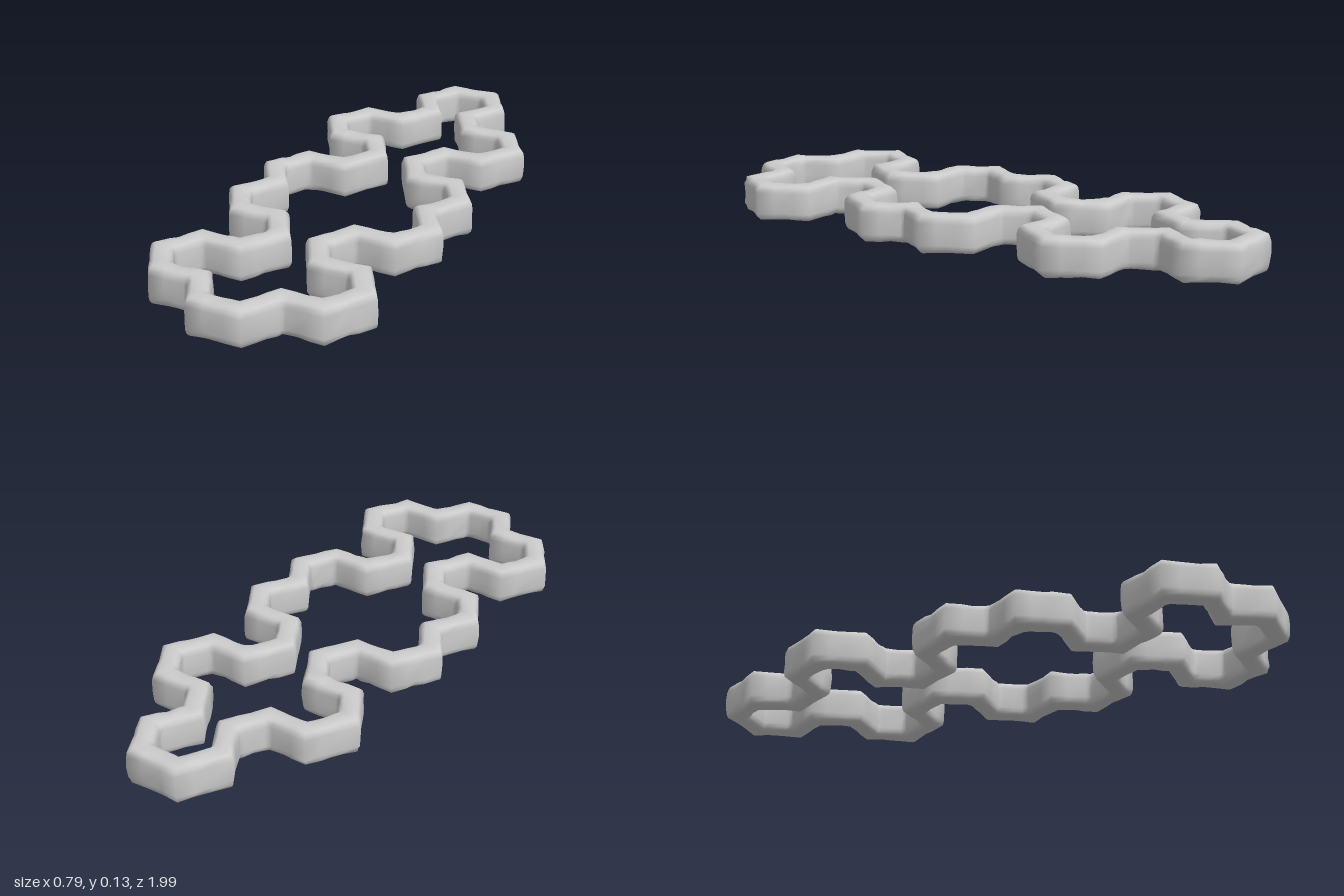
import * as THREE from 'three';

const ROW = 0.1195;          // row spacing of the hexagon grid
const HALF_W = 0.042, HALF_H = 0.067, MID_Y = 0.069;
const SIDES = 20, STEPS = 4; // points round the section, rings per straight piece

// small repeatable hash, 0..1
const hash = (a, b) => {
  const s = Math.sin(a * 127.1 + b * 311.7) * 43758.5453;
  return s - Math.floor(s);
};

// right half of the wall's centre line: one x for each hexagon row, back to front
function centreLine() {
  const rows = [[0.07], [0.138], [0.07], [0.138, 0.275], [0.345], [0.275, 0.138], [0.07],
    [0.138, 0.275], [0.345], [0.275], [0.345], [0.275, 0.138], [0.07],
    [0.138, 0.275], [0.345], [0.275, 0.138], [0.07]];
  const half = rows.flatMap((xs, k) => xs.map(x => new THREE.Vector2(x, (k - 8) * ROW)));
  const mirrored = half.map(p => new THREE.Vector2(-p.x, p.y)).reverse();
  return [...half, ...mirrored];
}

// rounded, roughened section swept round the closed zigzag with mitred bends
function wallGeometry(path) {
  const n = path.length, rings = n * STEPS, pos = [], index = [];
  const dir = i => path[(i + 1) % n].clone().sub(path[i % n]).normalize();
  for (let r = 0; r < rings; r++) {
    const i = Math.floor(r / STEPS), f = (r % STEPS) / STEPS;
    const c = path[i].clone().lerp(path[(i + 1) % n], f);
    const d = dir(i), t = d.clone();
    let mitre = 1;
    if (f === 0) {
      t.add(dir(i + n - 1)).normalize();
      mitre = 1 / t.dot(d);
    }
    const swell = 0.97 + 0.03 * Math.cos(f * Math.PI * 2); // pieces are a little thicker at the joints
    for (let j = 0; j < SIDES; j++) {
      const a = (j / SIDES) * Math.PI * 2, ca = Math.cos(a), sa = Math.sin(a);
      const rough = swell * (1 - 0.13 * hash(r, j) * hash(r + 7, Math.floor(j / 3)) - 0.05 * hash(Math.floor(r / 2), Math.floor(j / 4)));
      const out = Math.sign(ca) * Math.abs(ca) ** 0.55 * HALF_W * rough * mitre;
      const up = Math.sign(sa) * Math.abs(sa) ** 0.5 * HALF_H * (1 - (1 - rough) * 0.6);
      const slide = f === 0 ? 0 : (hash(j, r + 3) - 0.5) * 0.006;
      pos.push(c.x + t.y * out + t.x * slide, MID_Y + up, c.y - t.x * out + t.y * slide);
      const j2 = (j + 1) % SIDES, r2 = (r + 1) % rings;
      const p = r * SIDES + j, q = r * SIDES + j2, s = r2 * SIDES + j, u = r2 * SIDES + j2;
      index.push(p, q, s, q, u, s);
    }
  }
  const g = new THREE.BufferGeometry();
  g.setAttribute('position', new THREE.Float32BufferAttribute(pos, 3));
  g.setIndex(index);
  g.computeVertexNormals();
  return g;
}

export function createModel() {
  const group = new THREE.Group();
  group.name = 'hexagonalWallLoop';
  const wall = new THREE.Mesh(wallGeometry(centreLine()), new THREE.MeshStandardMaterial({ color: 0xcccccc, roughness: 0.9 }));
  wall.name = 'stoneWall';
  group.add(wall);
  return group;
}
